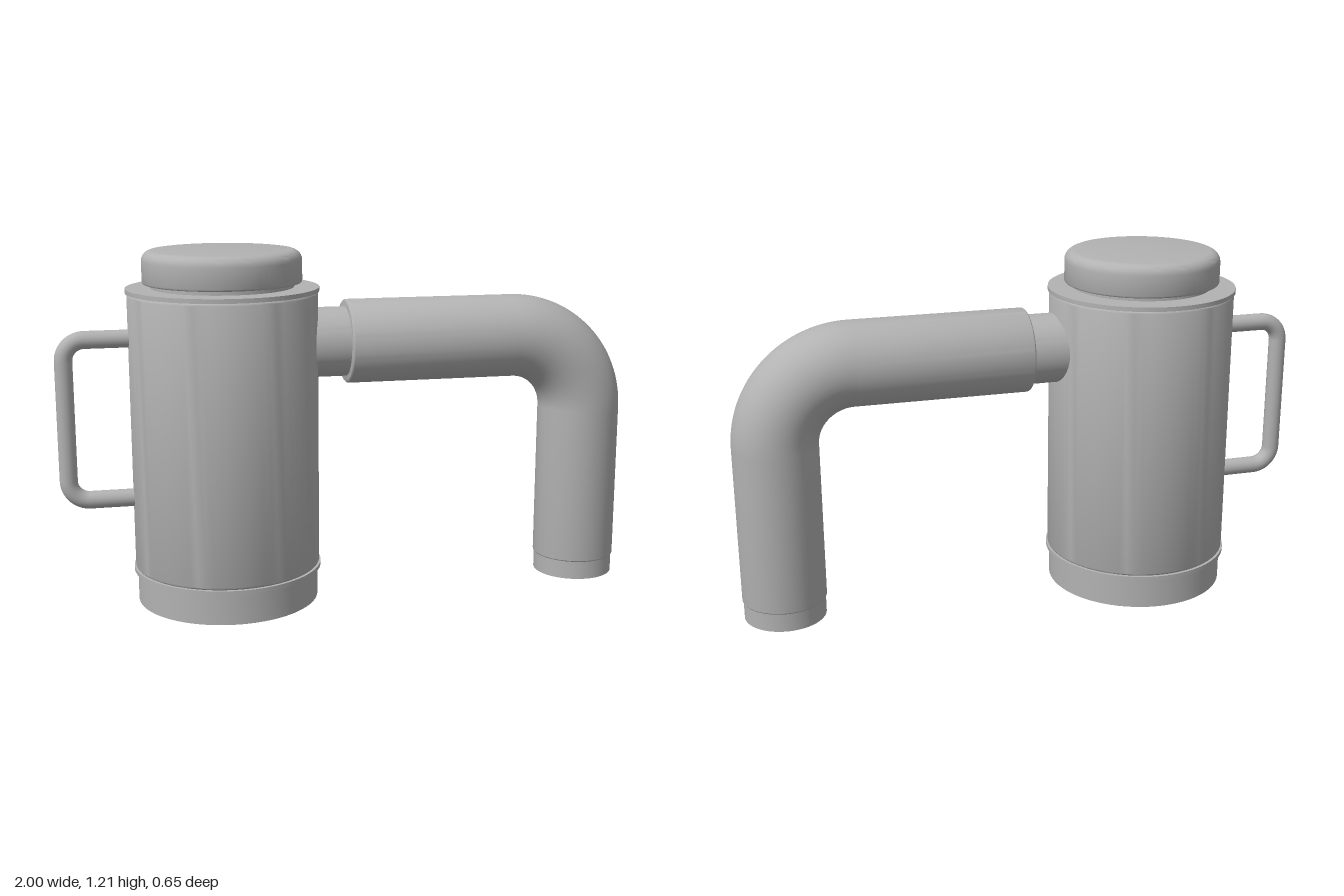
import * as THREE from 'three';
import { toCreasedNormals } from 'three/addons/utils/BufferGeometryUtils.js';

const TANK_X = -0.435;
const HALF = Math.PI / 2;

export function createModel() {
  const model = new THREE.Group();
  model.name = 'tankWithPipe';
  const steel = new THREE.MeshStandardMaterial({ color: 0xb2b2b2 });
  steel.name = 'steel grey';

  const add = (parent, name, geometry, x = 0, y = 0, turn = 0) => {
    const mesh = new THREE.Mesh(geometry, steel);
    mesh.name = name;
    mesh.position.set(x, y, 0);
    mesh.rotation.z = turn;
    parent.add(mesh);
  };

  // Closed round solid from y0 to y1 with optional rounded ends
  const round = (r, y0, y1, bottom = 0, top = 0) => {
    const pts = [new THREE.Vector2(0, y0)];
    const corner = (f, cy, start) => {
      if (!f) return pts.push(new THREE.Vector2(r, cy));
      for (let i = 0; i <= 6; i++) {
        const a = start + (HALF * i) / 6;
        pts.push(new THREE.Vector2(r - f + f * Math.cos(a), cy + f * Math.sin(a)));
      }
    };
    corner(bottom, y0 + bottom, -HALF);
    corner(top, y1 - top, 0);
    pts.push(new THREE.Vector2(0, y1));
    return toCreasedNormals(new THREE.LatheGeometry(pts, 72), 0.6);
  };

  // Tank: base, rims, body, neck and cap
  const tank = new THREE.Group();
  tank.name = 'tank';
  tank.position.x = TANK_X;
  model.add(tank);
  add(tank, 'base', round(0.313, 0, 0.112));
  add(tank, 'lowerRim', round(0.325, 0.108, 0.122));
  add(tank, 'body', round(0.32, 0.122, 1.07, 0.008, 0.008));
  add(tank, 'upperRim', round(0.325, 1.07, 1.085));
  add(tank, 'neck', round(0.24, 1.085, 1.102));
  add(tank, 'cap', round(0.268, 1.1, 1.21, 0.006, 0.035));

  // Outlet pipe: collar, horizontal run, elbow, downward run and tip
  const pipe = new THREE.Group();
  pipe.name = 'outletPipe';
  model.add(pipe);
  const px = 0.853, py = 0.885, pr = 0.145, bend = 0.265;
  add(pipe, 'collar', round(0.12, -0.18, -0.01), 0, py, -HALF);
  add(pipe, 'horizontalPipe', round(pr, -0.015, px - bend, 0.008), 0, py, -HALF);
  add(pipe, 'elbow', new THREE.TorusGeometry(bend, pr, 72, 32, HALF), px - bend, py - bend);
  add(pipe, 'downPipe', round(pr, 0.065, py - bend, 0.005), px, 0);
  add(pipe, 'pipeTip', round(0.141, 0, 0.07), px, 0);

  // Handle: upright grip, two bends and two arms into the tank
  const handle = new THREE.Group();
  handle.name = 'handle';
  model.add(handle);
  const hx = -0.97, top = 0.92, low = 0.37, hr = 0.03, hb = 0.07;
  const bar = (length) => new THREE.CylinderGeometry(hr, hr, length, 24, 1, true);
  add(handle, 'grip', bar(top - low - 2 * hb), hx, (top + low) / 2);
  const armStart = hx + hb, armEnd = -0.74;
  for (const [label, y, side, turn] of [['upper', top, -1, HALF], ['lower', low, 1, Math.PI]]) {
    add(handle, label + 'HandleBend', new THREE.TorusGeometry(hb, hr, 24, 16, HALF), armStart, y + side * hb, turn);
    add(handle, label + 'HandleArm', bar(armEnd - armStart), (armStart + armEnd) / 2, y, HALF);
  }
  return model;
}
